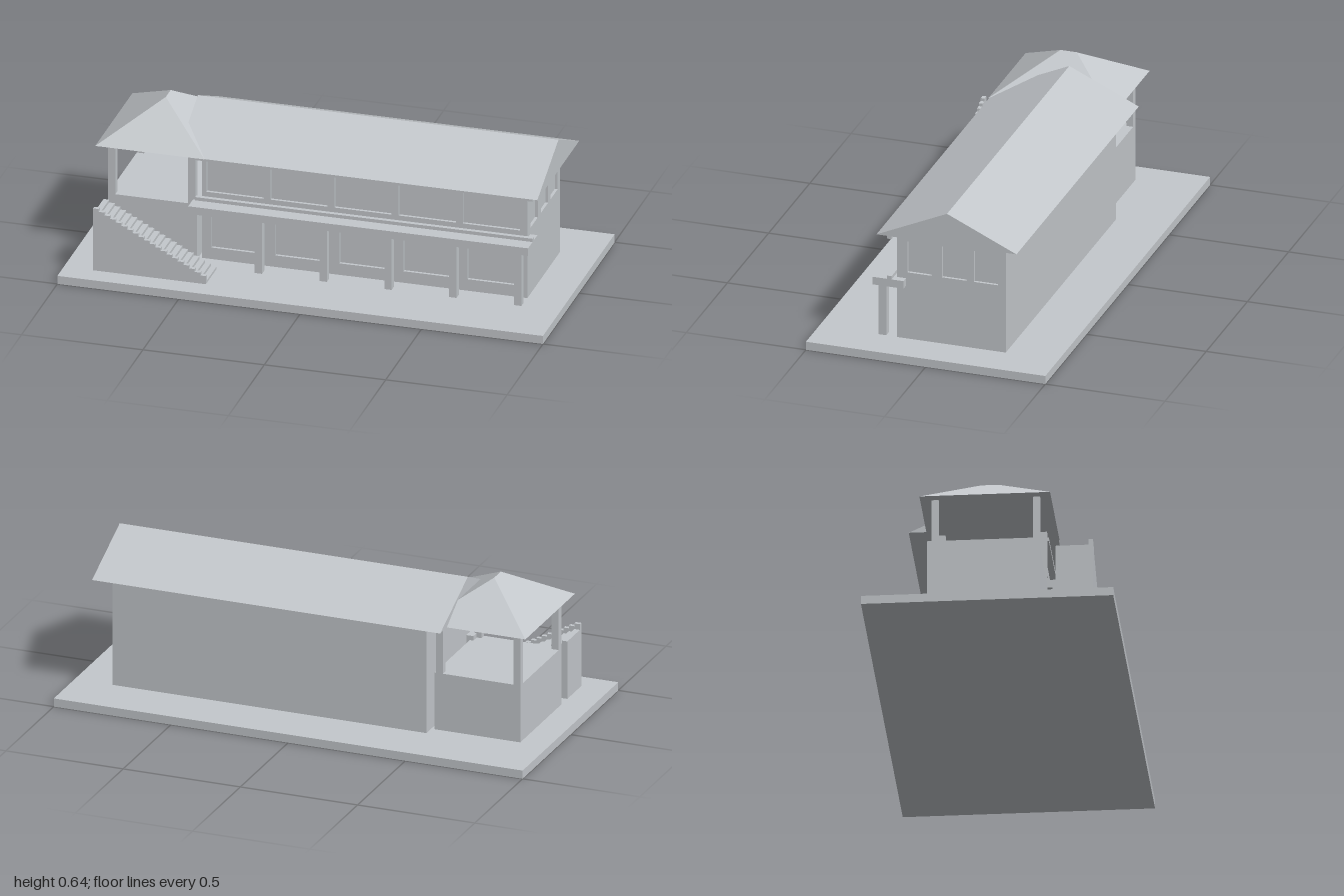
import * as THREE from 'three';

const grey = new THREE.MeshStandardMaterial({ color: 0xc4c8cc });
grey.name = 'plain grey';
grey.flatShading = true;

function add(group, name, geometry) {
  const mesh = new THREE.Mesh(geometry, grey);
  mesh.name = name;
  group.add(mesh);
  return mesh;
}

// Box given by its lower and upper limits on each axis
function box(group, name, x0, x1, y0, y1, z0, z1) {
  const mesh = add(group, name, new THREE.BoxGeometry(x1 - x0, y1 - y0, z1 - z0));
  mesh.position.set((x0 + x1) / 2, (y0 + y1) / 2, (z0 + z1) / 2);
  return mesh;
}

function rectPath(Kind, x0, x1, y0, y1) {
  const p = new Kind();
  p.moveTo(x0, y0);
  p.lineTo(x1, y0);
  p.lineTo(x1, y1);
  p.lineTo(x0, y1);
  p.closePath();
  return p;
}

// Wall skin with window openings; the core behind it closes each recess
function wallSkin(x0, x1, y0, y1, holes, depth) {
  const shape = rectPath(THREE.Shape, x0, x1, y0, y1);
  for (const h of holes) shape.holes.push(rectPath(THREE.Path, ...h));
  return new THREE.ExtrudeGeometry(shape, { depth, bevelEnabled: false });
}

// Solid roof: rectangular eaves rising to a ridge from a to b
function roofGeometry(x0, x1, z0, z1, y, a, b, ridgeAlongX) {
  const A = [x0, y, z1], B = [x1, y, z1], C = [x1, y, z0], D = [x0, y, z0];
  const tris = ridgeAlongX
    ? [A, B, b, A, b, a, C, D, a, C, a, b, B, C, b, D, A, a]
    : [A, B, b, C, D, a, B, C, a, B, a, b, D, A, b, D, b, a];
  tris.push(A, D, C, A, C, B);
  const g = new THREE.BufferGeometry();
  g.setAttribute('position', new THREE.Float32BufferAttribute(tris.flat(), 3));
  g.computeVertexNormals();
  return g;
}

// Side outline of a staircase descending towards +x, extruded across its width
function stairGeometry(x0, x1, y0, firstTop, lastTop, steps, depth) {
  const run = (x1 - x0) / steps;
  const s = new THREE.Shape();
  s.moveTo(x0, y0);
  s.lineTo(x1, y0);
  for (let i = steps - 1; i >= 0; i--) {
    const y = firstTop + (lastTop - firstTop) * i / (steps - 1);
    s.lineTo(x0 + run * (i + 1), y);
    s.lineTo(x0 + run * i, y);
  }
  s.closePath();
  return new THREE.ExtrudeGeometry(s, { depth, bevelEnabled: false });
}

export function createModel() {
  const model = new THREE.Group();
  model.name = 'house';
  const ground = 0.035, eaves = 0.497;

  box(model, 'basePlate', -1, 1, 0, ground, -0.5, 0.5);

  // Two-storey house with recessed windows
  const house = new THREE.Group();
  house.name = 'mainHouse';
  model.add(house);
  const skin = 0.012;
  box(house, 'wallCore', -0.5, 0.84 - skin, ground, eaves, -0.28, 0.175 - skin);
  const frontHoles = [];
  for (let i = 0; i < 5; i++) {
    const x = -0.482 + i * 0.264;
    frontHoles.push([x, x + 0.235, 0.325, 0.46], [x + 0.02, x + 0.215, 0.085, 0.24]);
  }
  add(house, 'frontWall', wallSkin(-0.5, 0.84, ground, eaves, frontHoles, skin))
    .position.z = 0.175 - skin;
  const sideHoles = [[-0.13, -0.03], [0.014, 0.115], [0.147, 0.248]]
    .map(([a, b]) => [a, b, 0.322, 0.457]);
  const side = add(house, 'sideWall',
    wallSkin(-0.175 + skin, 0.28, ground, eaves, sideHoles, skin));
  side.rotation.y = Math.PI / 2;
  side.position.x = 0.84 - skin;
  add(house, 'gableRoof', roofGeometry(-0.585, 0.9, -0.345, 0.24, eaves,
    [-0.585, 0.63, -0.055], [0.9, 0.63, -0.055], true));

  // Balcony along the front, with its rails and columns
  const balcony = new THREE.Group();
  balcony.name = 'balcony';
  model.add(balcony);
  box(balcony, 'balconySlab', -0.53, 0.87, 0.263, 0.296, 0.137, 0.267);
  box(balcony, 'lowerRail', -0.52, 0.87, 0.296, 0.31, 0.187, 0.205);
  box(balcony, 'upperRail', -0.52, 0.87, 0.471, 0.485, 0.187, 0.205);
  for (let i = 0; i < 6; i++) {
    const x = -0.512 + i * 0.267;
    box(balcony, 'column', x - 0.015, x + 0.015, ground, 0.263, 0.22, 0.253);
  }

  // Raised open terrace with four posts and a hipped roof
  const pavilion = new THREE.Group();
  pavilion.name = 'pavilion';
  model.add(pavilion);
  box(pavilion, 'terrace', -0.88, -0.515, ground, 0.277, -0.23, 0.2);
  for (const x of [-0.88, -0.55]) {
    for (const z of [-0.23, 0.172]) {
      box(pavilion, 'post', x, x + 0.03, 0.277, eaves, z, z + 0.028);
    }
  }
  add(pavilion, 'hippedRoof', roofGeometry(-0.92, -0.47, -0.275, 0.243, eaves,
    [-0.695, 0.641, -0.048], [-0.695, 0.641, 0.02], false));

  // Solid staircase with a stepped curb on its outer side
  const stairs = new THREE.Group();
  stairs.name = 'staircase';
  model.add(stairs);
  add(stairs, 'steps', stairGeometry(-0.88, -0.415, ground, 0.28, 0.046, 20, 0.131))
    .position.z = 0.262;
  add(stairs, 'curb', stairGeometry(-0.88, -0.415, ground, 0.304, 0.07, 20, 0.016))
    .position.z = 0.393;

  return model;
}
